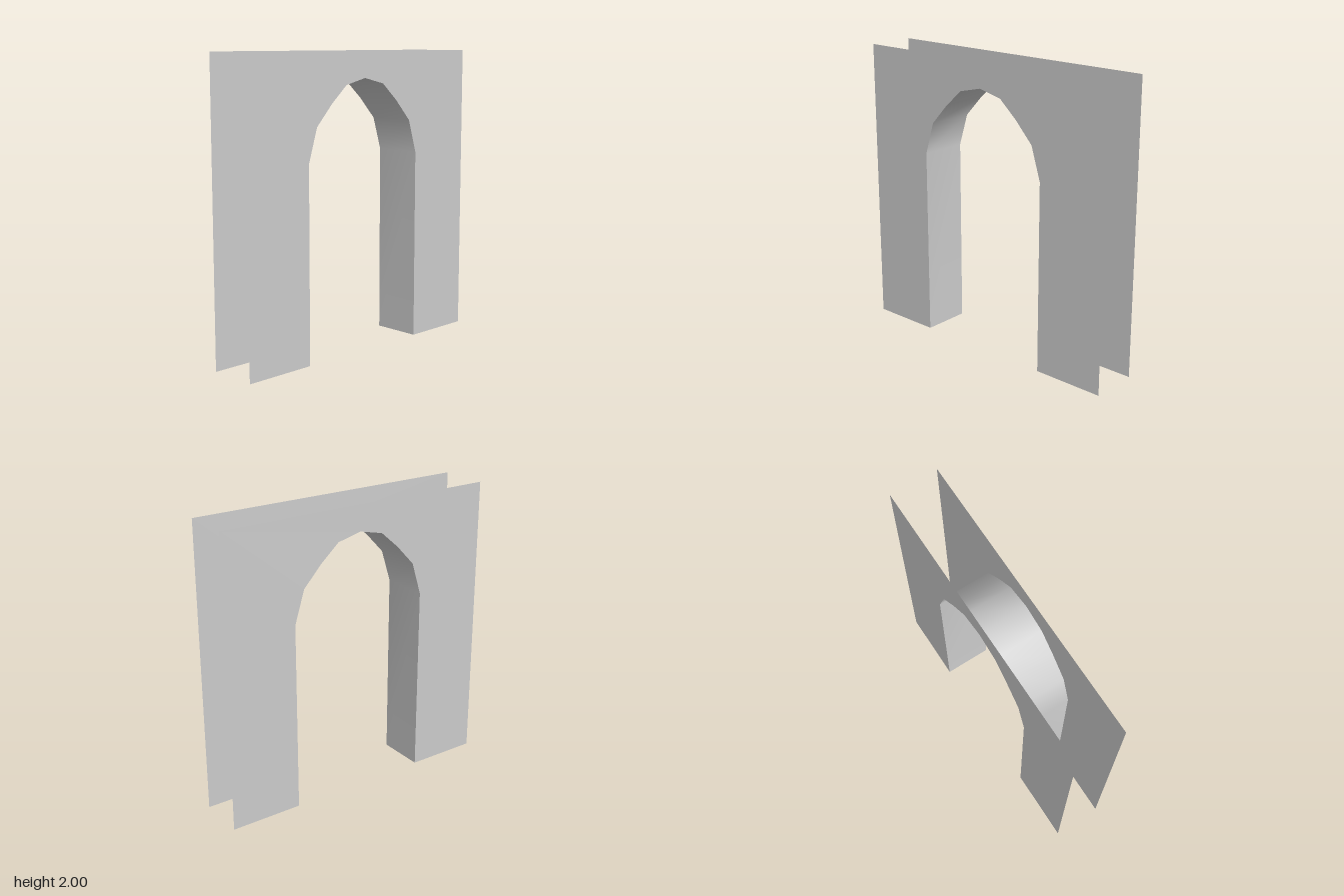
import * as THREE from 'three';

const HALF_DEPTH = 0.167;

// Right half of the opening, from the floor up to the crown
const half = [[0.5, 0], [0.5, 1.305], [0.43, 1.53], [0.3, 1.67], [0.17, 1.785]];
const opening = [...half, [0, 1.825], ...half.map(([x, y]) => [-x, y]).reverse()];

// Wall sheet with the arched doorway cut up from its lower edge
function wallGeometry() {
  const outline = [[1, 0], [1, 2], [-1, 2], [-1, 0], ...opening.slice().reverse()];
  return new THREE.ShapeGeometry(new THREE.Shape(outline.map(([x, y]) => new THREE.Vector2(x, y))));
}

// Strip following the opening from front to back, smooth over the arch
function liningGeometry() {
  const positions = [], index = [];
  opening.forEach(([x, y], i) => {
    positions.push(x, y, HALF_DEPTH, x, y, -HALF_DEPTH);
    if (i === opening.length - 1) return;
    const a = i * 2;
    index.push(a, a + 2, a + 1, a + 1, a + 2, a + 3);
  });
  const geometry = new THREE.BufferGeometry();
  geometry.setAttribute('position', new THREE.Float32BufferAttribute(positions, 3));
  geometry.setIndex(index);
  geometry.computeVertexNormals();
  return geometry;
}

export function createModel() {
  const group = new THREE.Group();
  group.name = 'archedDoorway';
  const material = new THREE.MeshStandardMaterial({ color: 0xcccccc, side: THREE.DoubleSide });
  const add = (name, geometry) => {
    const mesh = new THREE.Mesh(geometry, material);
    mesh.name = name;
    group.add(mesh);
    return mesh;
  };

  // Two parallel faces, open along the top, sides and bottom
  add('frontWall', wallGeometry()).position.z = HALF_DEPTH;
  const back = add('backWall', wallGeometry());
  back.rotation.y = Math.PI;
  back.position.z = -HALF_DEPTH;

  // Inner faces of the jambs and arch
  add('archLining', liningGeometry());
  return group;
}
